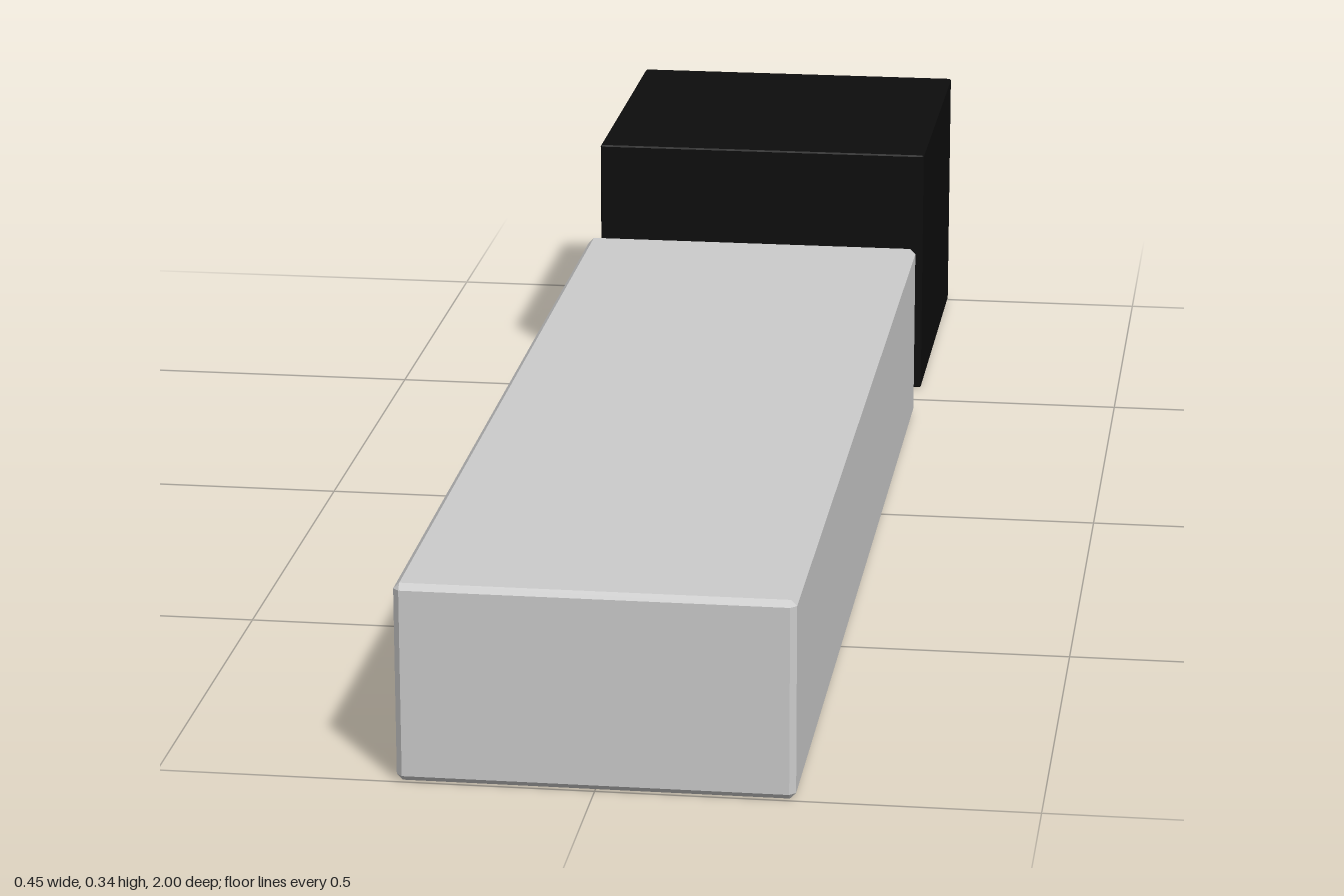
import * as THREE from 'three';
import { ConvexGeometry } from 'three/addons/geometries/ConvexGeometry.js';

// Box between two corners with every edge cut at 45 degrees
function chamferedBox(name, min, max, c, color) {
  const center = min.map((v, i) => (v + max[i]) / 2);
  const half = min.map((v, i) => (max[i] - v) / 2);
  const points = [];
  for (const sx of [-1, 1]) for (const sy of [-1, 1]) for (const sz of [-1, 1]) {
    // three points per corner, one on each adjoining face
    for (let face = 0; face < 3; face++) {
      const p = [sx, sy, sz].map((s, i) => s * (half[i] - (i === face ? 0 : c)));
      points.push(new THREE.Vector3(...p));
    }
  }
  const mesh = new THREE.Mesh(
    new ConvexGeometry(points),
    new THREE.MeshStandardMaterial({ color, flatShading: true })
  );
  mesh.name = name;
  mesh.position.set(...center);
  return mesh;
}

export function createModel() {
  const group = new THREE.Group();
  group.name = 'blocks';
  // Long low slab at the front
  group.add(chamferedBox('longSlab', [-0.226, 0, -0.446], [0.226, 0.235, 1], 0.007, 0xcccccc));
  // Taller dark block behind it
  group.add(chamferedBox('rearBlock', [-0.226, 0.002, -1], [0.226, 0.338, -0.55], 0.002, 0x0d0d0d));
  return group;
}
